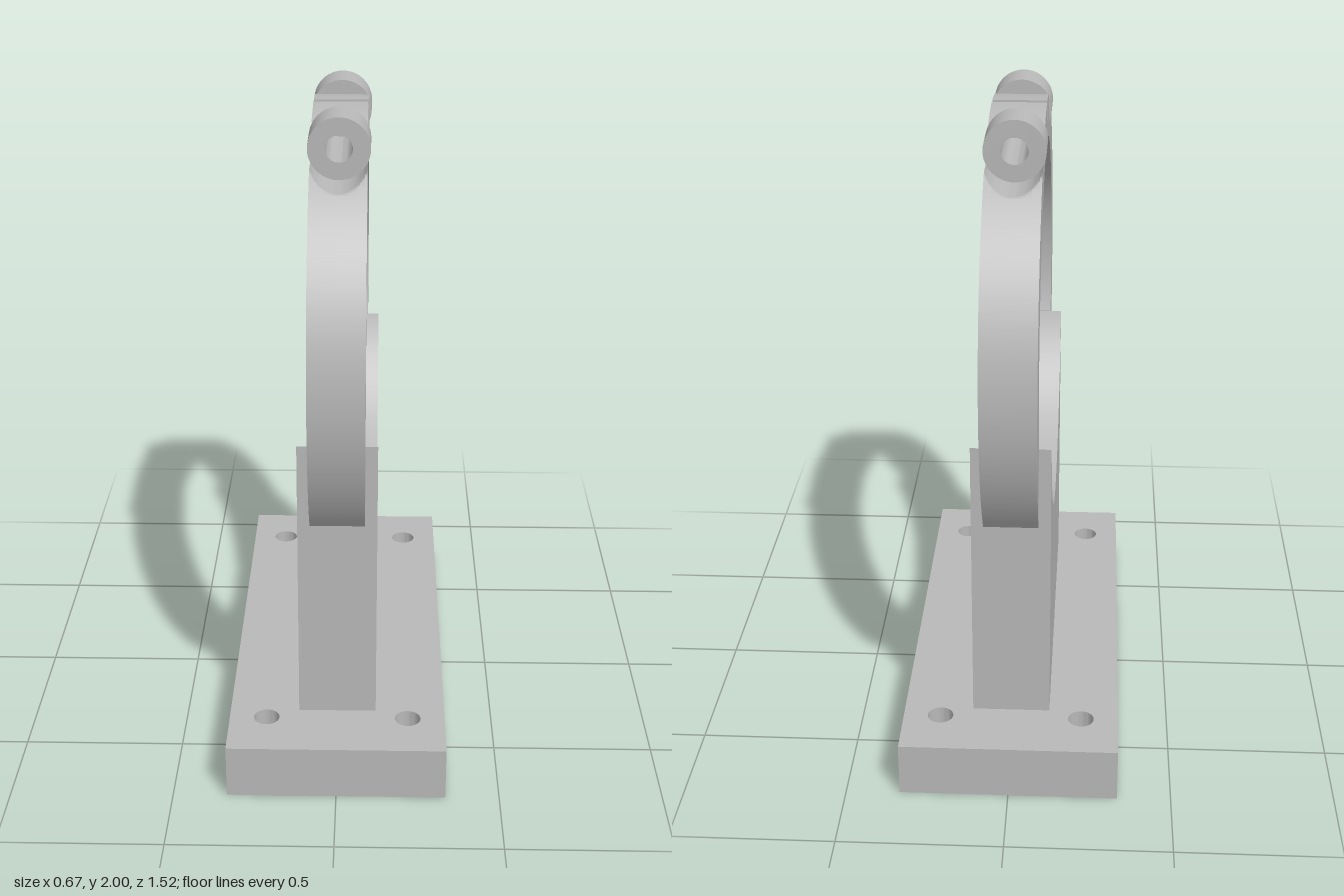
import * as THREE from 'three';
import { toCreasedNormals } from 'three/addons/utils/BufferGeometryUtils.js';

const CY = 1.27, R_IN = 0.58, R_OUT = 0.708;       // clamp ring
const BOLT_Y = 1.91, R_BOSS = 0.092, R_BORE = 0.04; // clamp bolt axis
const HALF = 0.083;                                 // half width of the ring

const innerY = z => CY + Math.sqrt(R_IN * R_IN - z * z);
const outerY = z => CY + Math.sqrt(R_OUT * R_OUT - z * z);

function polygon(points) {
  return new THREE.Shape(points.map(p => new THREE.Vector2(p[0], p[1])));
}

function addHole(shape, x, y, r) {
  const hole = new THREE.Path();
  hole.absarc(x, y, r, 0, Math.PI * 2, true);
  shape.holes.push(hole);
}

// Side profile (z, y) extruded across x
function extrudeAcross(shape, width) {
  const g = new THREE.ExtrudeGeometry(shape, { depth: width, bevelEnabled: false, curveSegments: 64 });
  g.translate(0, 0, -width / 2);
  g.rotateY(-Math.PI / 2);
  return toCreasedNormals(g, 0.5);
}

// Cross-section (x, y) extruded along z, with heights adjusted by a rule
function extrudeAlong(shape, z0, z1, steps, rule) {
  const g = new THREE.ExtrudeGeometry(shape, { depth: z1 - z0, steps, bevelEnabled: false, curveSegments: 24 });
  g.translate(0, 0, z0);
  const p = g.attributes.position;
  for (let i = 0; i < p.count; i++) p.setY(i, rule(p.getY(i), p.getZ(i)));
  g.computeVertexNormals();
  return toCreasedNormals(g, 0.5);
}

export function createModel() {
  const grey = new THREE.MeshStandardMaterial({ color: 0xb8b8b8 });
  grey.name = 'grey';
  const model = new THREE.Group();
  model.name = 'pipeClampStand';
  const add = (parent, name, geometry) => {
    const mesh = new THREE.Mesh(geometry, grey);
    mesh.name = name;
    parent.add(mesh);
  };

  // Base plate with four screw holes
  const plate = polygon([[-0.335, -0.76], [0.335, -0.76], [0.335, 0.76], [-0.335, 0.76]]);
  for (const x of [-0.22, 0.22]) for (const z of [-0.59, 0.59]) addHole(plate, x, z, 0.04);
  const plateGeo = new THREE.ExtrudeGeometry(plate, { depth: 0.17, bevelEnabled: false, curveSegments: 24 });
  plateGeo.rotateX(-Math.PI / 2);
  add(model, 'basePlate', toCreasedNormals(plateGeo, 0.5));

  // Pedestal with a round cradle
  const a = Math.acos(0.55 / R_IN);
  const cradle = new THREE.Shape();
  cradle.moveTo(-0.55, 0.17);
  cradle.lineTo(0.55, 0.17);
  cradle.absarc(0, CY, R_IN, -a, -Math.PI + a, true);
  cradle.closePath();
  add(model, 'pedestal', extrudeAcross(cradle, 0.24));

  // One half of the split ring, repeated by a half turn
  const arm = new THREE.Shape();
  arm.absarc(0, CY, R_OUT, -Math.acos(0.55 / R_OUT), Math.acos(0.45 / R_OUT), false);
  arm.absarc(0, CY, R_IN, Math.acos(0.45 / R_IN), -a, true);
  arm.closePath();

  // Section with a rounded channel for the bolt
  const channelPoints = [[-HALF, 1], [HALF, 1]];
  for (let i = 0; i <= 24; i++) {
    const x = HALF * (1 - i / 12);
    channelPoints.push([x, BOLT_Y - Math.sqrt(R_BOSS * R_BOSS - x * x)]);
  }

  // Bored end beside the gap
  const jaw = polygon([[-HALF, 1.85], [HALF, 1.85], [HALF, 1.978], [-HALF, 1.978]]);
  addHole(jaw, 0, BOLT_Y, R_BORE);

  const boss = new THREE.Shape();
  boss.absarc(0, BOLT_Y, R_BOSS, 0, Math.PI * 2, false);
  addHole(boss, 0, BOLT_Y, R_BORE);

  const geometries = {
    ringArm: extrudeAcross(arm, HALF * 2),
    boltChannel: extrudeAlong(polygon(channelPoints), 0.19, 0.45, 40,
      (y, z) => y < 1.5 ? innerY(z) : Math.min(y, outerY(z))),
    ringJaw: extrudeAlong(jaw, 0.012, 0.19, 12,
      (y, z) => y < 1.86 ? innerY(z) : y > 1.96 ? outerY(z) : y),
    boltBoss: extrudeAlong(boss, 0.17, 0.303, 8, (y, z) => Math.max(y, innerY(z))),
  };
  for (const side of ['front', 'back']) {
    const half = new THREE.Group();
    half.name = side + 'RingHalf';
    if (side === 'back') half.rotation.y = Math.PI;
    for (const name in geometries) add(half, name, geometries[name]);
    model.add(half);
  }
  return model;
}
